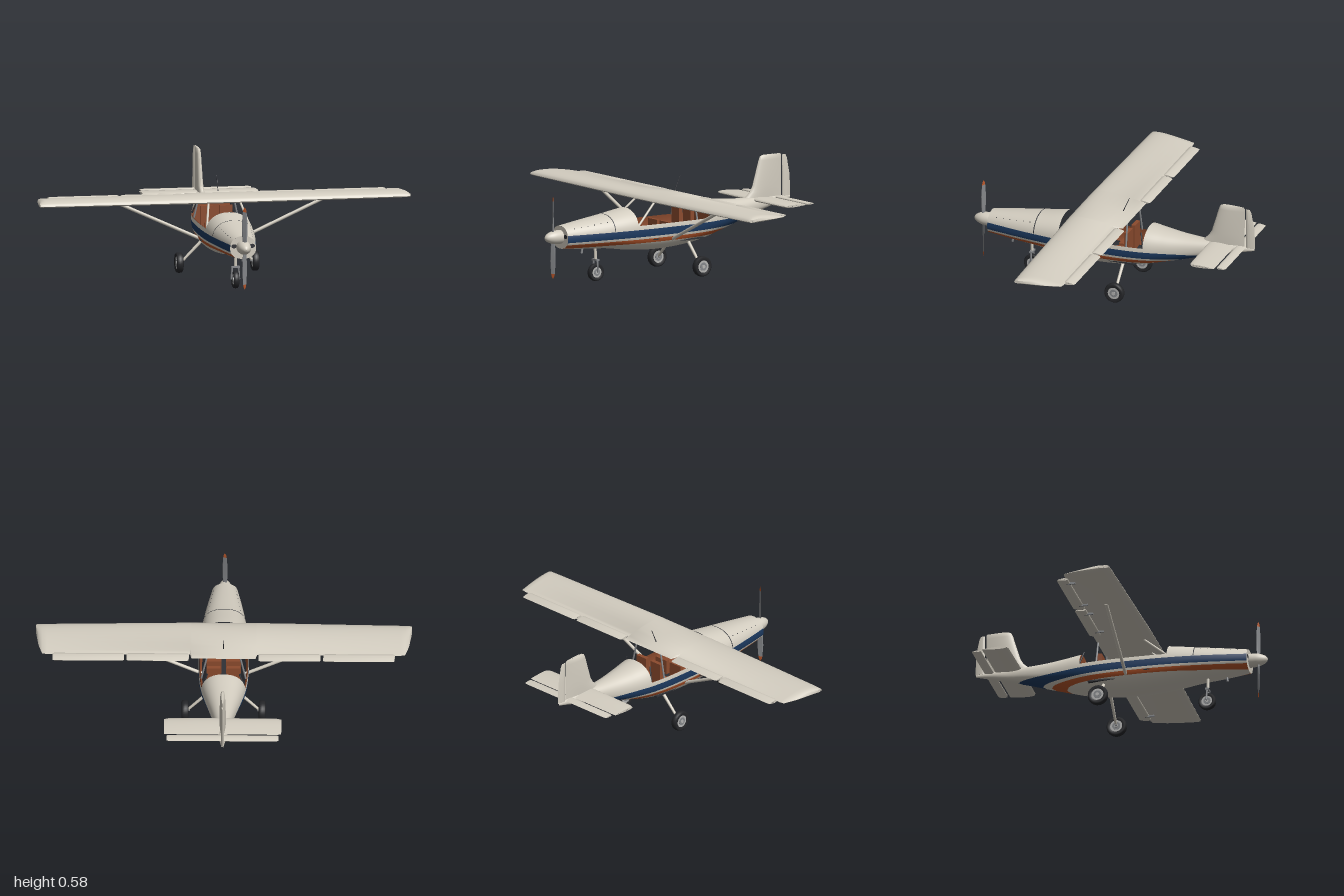
import * as THREE from 'three';
import { toCreasedNormals, mergeGeometries } from 'three/addons/utils/BufferGeometryUtils.js';

const paint = (name, color, side = THREE.FrontSide) => {
  const m = new THREE.MeshStandardMaterial({ color, side });
  m.name = name;
  return m;
};

// Fuselage stations: z, bottom, top, half width
const stations = [
  [-0.8, 0.333, 0.345, 0.004], [-0.7, 0.308, 0.352, 0.02], [-0.6, 0.282, 0.355, 0.032],
  [-0.5, 0.255, 0.357, 0.052], [-0.4, 0.225, 0.362, 0.073], [-0.3, 0.198, 0.372, 0.097],
  [-0.2, 0.172, 0.385, 0.119], [-0.08, 0.152, 0.392, 0.131], [0.1, 0.142, 0.392, 0.134],
  [0.275, 0.153, 0.378, 0.128], [0.42, 0.174, 0.356, 0.114], [0.56, 0.184, 0.338, 0.094], [0.7, 0.196, 0.319, 0.07],
];

// Smooth interpolation of the station table
function station(z) {
  const S = stations, last = S.length - 1;
  let i = 0;
  while (i < last - 1 && z > S[i + 1][0]) i++;
  const h = S[i + 1][0] - S[i][0], t = (z - S[i][0]) / h;
  const slope = (k, c) => {
    const a = S[Math.max(k - 1, 0)], b = S[Math.min(k + 1, last)];
    return (b[c] - a[c]) / (b[0] - a[0]);
  };
  const [bottom, top, half] = [1, 2, 3].map((c) =>
    S[i][c] * (1 + 2 * t) * (1 - t) ** 2 + slope(i, c) * h * t * (1 - t) ** 2 +
    S[i + 1][c] * t * t * (3 - 2 * t) + slope(i + 1, c) * h * t * t * (t - 1));
  return { bottom, top, half, mid: bottom + 0.46 * (top - bottom) };
}

const N = 2.25; // roundness of the cross-section
const power = (v, e) => Math.sign(v) * Math.abs(v) ** e;
function hullPoint(z, a) {
  const s = station(z), sin = Math.sin(a);
  return new THREE.Vector3(s.half * power(Math.cos(a), 2 / N),
    s.mid + (sin > 0 ? s.top - s.mid : s.mid - s.bottom) * power(sin, 2 / N), z);
}
function hullAngle(z, y) {
  const s = station(z);
  const v = THREE.MathUtils.clamp((y - s.mid) / (y > s.mid ? s.top - s.mid : s.mid - s.bottom), -1, 1);
  return Math.asin(power(v, N / 2));
}

// Strip of hull skin between two heights, on both sides; inner turns it to face the cabin
function hullBand(y0, y1, z0, z1, offset = 0, inner = false) {
  const rows = Math.max(2, Math.ceil((z1 - z0) * 60)), cols = 10, pos = [], nor = [], idx = [];
  for (const side of [1, -1]) {
    const base = pos.length / 3;
    for (let i = 0; i <= rows; i++) for (let j = 0; j <= cols; j++) {
      const z = z0 + (z1 - z0) * i / rows;
      const a = THREE.MathUtils.lerp(hullAngle(z, y0), hullAngle(z, y1), j / cols);
      const n = hullPoint(z, a + 0.02).sub(hullPoint(z, a - 0.02))
        .cross(hullPoint(z + 0.003, a).sub(hullPoint(z - 0.003, a))).normalize();
      const p = hullPoint(z, a).addScaledVector(n, offset), f = inner ? -1 : 1;
      pos.push(side * p.x, p.y, p.z);
      nor.push(f * side * n.x, f * n.y, f * n.z);
      if (i < rows && j < cols) {
        const k = base + i * (cols + 1) + j, b = k + 1, c = k + cols + 1, d = c + 1;
        if ((side > 0) !== inner) idx.push(k, b, c, b, d, c);
        else idx.push(k, c, b, b, c, d);
      }
    }
  }
  const g = new THREE.BufferGeometry();
  g.setAttribute('position', new THREE.Float32BufferAttribute(pos, 3));
  g.setAttribute('normal', new THREE.Float32BufferAttribute(nor, 3));
  g.setIndex(idx);
  return g;
}

// Flat bulkhead filling the hull section at z
function bulkhead(z, scale = 1) {
  const pts = [];
  for (let k = 0; k < 48; k++) {
    const p = hullPoint(z, k / 48 * Math.PI * 2);
    pts.push(new THREE.Vector2(p.x * scale, p.y));
  }
  return new THREE.ShapeGeometry(new THREE.Shape(pts)).translate(0, 0, z);
}

// Aerofoil loft; sections are [span, leading z, trailing z, thickness]
function foil(sections, { upright = false, y = 0, lower = 1 } = {}) {
  const K = 28, pos = [], idx = [];
  const ends = [sections[0], sections[sections.length - 1]].map((s) => [s[0], s[1], s[2], 0.0004]);
  const all = [ends[0], ...sections, ends[1]];
  all.forEach(([s, lead, trail, th], i) => {
    for (let k = 0; k < K; k++) {
      const a = k / K * Math.PI * 2, c = (1 - Math.cos(a)) / 2;
      const half = 5 * th * (0.2969 * Math.sqrt(c) - 0.126 * c - 0.3516 * c ** 2 + 0.2843 * c ** 3 - 0.1 * c ** 4);
      const t = Math.sin(a) >= 0 ? half : -half * lower, z = lead + (trail - lead) * c;
      if (upright) pos.push(t, s, z); else pos.push(s, y + t, z);
      if (i < all.length - 1) {
        const p = i * K + k, q = i * K + (k + 1) % K, r = p + K, u = q + K;
        if (upright) idx.push(p, q, r, q, u, r); else idx.push(p, r, q, q, r, u);
      }
    }
  });
  const g = new THREE.BufferGeometry();
  g.setAttribute('position', new THREE.Float32BufferAttribute(pos, 3));
  g.setIndex(idx);
  return toCreasedNormals(g, 0.7);
}

// Round bar between two points
function bar(a, b, r, r2 = r) {
  const A = new THREE.Vector3(...a), B = new THREE.Vector3(...b), d = B.clone().sub(A);
  const g = new THREE.CylinderGeometry(r2, r, d.length(), 12);
  g.applyQuaternion(new THREE.Quaternion().setFromUnitVectors(new THREE.Vector3(0, 1, 0), d.normalize()));
  return g.translate(...A.add(B).multiplyScalar(0.5).toArray());
}
const box = (w, h, d, x, y, z) => new THREE.BoxGeometry(w, h, d).translate(x, y, z);

export function createModel() {
  const model = new THREE.Group();
  const cream = paint('cream', 0xd3cdc0), blue = paint('navy', 0x1d3a60), orange = paint('orange', 0xb8562a);
  const brown = paint('leather', 0x8c4b2e, THREE.DoubleSide), dark = paint('charcoal', 0x2f3136, THREE.DoubleSide);
  const rubber = paint('rubber', 0x252629), metal = paint('metal', 0x85878a), rim = paint('rim', 0xb4b4b2);
  const add = (name, geo, mat, parent = model) => {
    const m = new THREE.Mesh(geo, mat);
    m.name = name;
    parent.add(m);
    return m;
  };

  // Hull skin in horizontal colour bands
  add('belly', hullBand(0, 0.198, -0.8, 0.7), cream);
  add('orangeStripe', hullBand(0.198, 0.22, -0.8, 0.7), orange);
  add('stripeGap', hullBand(0.22, 0.233, -0.8, 0.7), cream);
  add('blueStripe', hullBand(0.233, 0.272, -0.8, 0.7), blue);
  add('sill', hullBand(0.272, 0.294, -0.8, 0.7), cream);
  add('noseTop', hullBand(0.294, 0.6, 0.275, 0.7), cream);
  add('tailTop', hullBand(0.294, 0.6, -0.8, -0.205), cream);
  add('cowlSeam', hullBand(0.275, 0.6, 0.416, 0.421, 0.0008), dark);
  add('cowlFace', bulkhead(0.7), cream);
  for (const s of [1, -1]) {
    add('airIntake', new THREE.CircleGeometry(0.015, 24).scale(1, 0.75, 1).translate(s * 0.049, 0.265, 0.702), dark);
    add('doorHandle', box(0.004, 0.005, 0.035, s * 0.131, 0.213, 0.165), dark);
    for (let i = 0; i < 6; i++) { // cowl fasteners
      const p = hullPoint(0.45 + i * 0.04, 0.75);
      add('fastener', new THREE.SphereGeometry(0.0025, 8, 6).translate(s * p.x, p.y, p.z), dark);
    }
  }
  add('exhaust', bar([0.02, 0.19, 0.57], [0.02, 0.162, 0.575], 0.006), metal);

  // Cabin interior
  add('lining', hullBand(0.2, 0.293, -0.2, 0.272, -0.005, true), brown);
  add('floor', box(0.18, 0.006, 0.45, 0, 0.2, 0.035), dark);
  add('dashboard', bulkhead(0.274, 0.99), dark);
  add('rearBulkhead', bulkhead(-0.207, 0.99), brown);
  for (const s of [1, -1]) {
    add('frontSeat', mergeGeometries([box(0.08, 0.03, 0.08, s * 0.052, 0.225, 0.1),
      box(0.08, 0.08, 0.02, s * 0.052, 0.25, 0.05)]), brown);
    add('rearSeat', mergeGeometries([box(0.08, 0.03, 0.08, s * 0.052, 0.225, -0.06),
      box(0.07, 0.14, 0.022, s * 0.052, 0.285, -0.1)]), brown);
    add('windscreenPillar', bar([s * 0.118, 0.292, 0.273], [s * 0.085, 0.412, 0.14], 0.006), cream);
    add('rearPillar', bar([s * 0.118, 0.29, -0.112], [s * 0.09, 0.418, -0.108], 0.005), metal);
    add('rearFrame', bar([s * 0.112, 0.3, -0.204], [s * 0.085, 0.372, -0.186], 0.004), dark);
  }

  // High wing with separate flaps and ailerons
  const half = [[0, 0.2, -0.115, 0.06], [0.17, 0.2, -0.115, 0.06], [0.178, 0.199, -0.08, 0.06],
    [0.94, 0.184, -0.08, 0.05], [0.965, 0.183, -0.075, 0.048], [0.985, 0.182, 0, 0.04], [1, 0.18, 0.12, 0.022]];
  const mirrored = (list) => [...list.slice(1).reverse().map(([s, ...r]) => [-s, ...r]), ...list];
  add('wing', foil(mirrored(half), { y: 0.42, lower: 0.45 }), cream);
  for (const s of [1, -1]) {
    for (const [name, a, b] of [['flap', 0.185, 0.515], ['aileron', 0.53, 0.91]]) {
      const span = [[a, -0.07, -0.126, 0.015], [a + 0.01, -0.068, -0.131, 0.02],
        [b - 0.01, -0.068, -0.131, 0.02], [b, -0.07, -0.126, 0.015]];
      add(name, foil(s > 0 ? span : span.map(([x, ...r]) => [-x, ...r]).reverse(), { y: 0.417 }), cream);
      for (const x of [a + 0.05, b - 0.05]) add('hinge', box(0.008, 0.012, 0.05, s * x, 0.413, -0.065), metal);
    }
    add('wingStrut', bar([s * 0.115, 0.203, 0.05], [s * 0.57, 0.412, 0.057], 0.009), cream);
  }
  add('aerial', bar([0, 0.44, -0.05], [0, 0.52, -0.085], 0.0025, 0.0015), dark);

  // Tail surfaces
  add('stabilizer', foil(mirrored([[0, -0.545, -0.69, 0.024], [0.29, -0.548, -0.69, 0.02],
    [0.312, -0.555, -0.688, 0.014]]), { y: 0.344 }), cream);
  add('elevator', foil(mirrored([[0, -0.698, -0.75, 0.014], [0.285, -0.698, -0.75, 0.014],
    [0.298, -0.702, -0.745, 0.009]]), { y: 0.344 }), cream);
  add('fin', foil([[0.345, -0.5, -0.744, 0.036], [0.362, -0.515, -0.744, 0.036], [0.385, -0.54, -0.744, 0.036],
    [0.415, -0.557, -0.744, 0.035], [0.55, -0.597, -0.744, 0.027], [0.57, -0.606, -0.744, 0.022],
    [0.577, -0.62, -0.738, 0.012]], { upright: true }), cream);
  add('rudder', foil([[0.345, -0.75, -0.803, 0.016], [0.456, -0.75, -0.8, 0.015], [0.55, -0.75, -0.782, 0.012],
    [0.568, -0.75, -0.773, 0.008]], { upright: true }), cream);

  // Propeller and spinner
  const profile = [[0.037, 0], [0.037, 0.02], [0.034, 0.05], [0.026, 0.075], [0.014, 0.093], [0, 0.1]];
  const curve = new THREE.SplineCurve(profile.map((p) => new THREE.Vector2(...p))).getPoints(24);
  add('spinner', new THREE.LatheGeometry(curve, 32).rotateX(Math.PI / 2).translate(0, 0.26, 0.7), cream);
  for (const turn of [0, Math.PI]) {
    const place = (g) => g.rotateY(1.05).rotateZ(turn).translate(0, 0.26, 0.748);
    add('propellerBlade', place(foil([[0.015, 0.009, -0.009, 0.012], [0.06, 0.014, -0.014, 0.009],
      [0.13, 0.016, -0.016, 0.006], [0.195, 0.011, -0.011, 0.004]], { upright: true })), metal);
    add('bladeTip', place(foil([[0.195, 0.011, -0.011, 0.004], [0.212, 0.007, -0.007, 0.003],
      [0.22, 0.002, -0.002, 0.002]], { upright: true })), orange);
  }

  // Landing gear
  const wheel = (x, z, r, w) => {
    const g = new THREE.Group();
    g.name = 'wheel';
    const tyre = [[0.6, -0.38], [0.85, -0.5], [0.96, -0.36], [1, 0], [0.96, 0.36], [0.85, 0.5], [0.6, 0.38]]
      .map(([a, b]) => new THREE.Vector2(a * r, b * w));
    add('tyre', new THREE.LatheGeometry(tyre, 32).rotateZ(Math.PI / 2), rubber, g);
    add('rim', new THREE.CylinderGeometry(r * 0.61, r * 0.61, w * 0.72, 28).rotateZ(Math.PI / 2), rim, g);
    add('brakeDisc', new THREE.CylinderGeometry(r * 0.4, r * 0.4, w * 0.8, 24).rotateZ(Math.PI / 2), metal, g);
    add('hub', new THREE.CylinderGeometry(r * 0.18, r * 0.18, w * 0.95, 16).rotateZ(Math.PI / 2), rim, g);
    g.position.set(x, r, z);
    model.add(g);
  };
  for (const s of [1, -1]) {
    wheel(s * 0.205, -0.08, 0.055, 0.036);
    add('mainLeg', bar([s * 0.075, 0.178, -0.08], [s * 0.19, 0.06, -0.08], 0.009, 0.007), cream);
    add('axle', bar([s * 0.18, 0.056, -0.08], [s * 0.21, 0.055, -0.08], 0.006), metal);
    add('legFairing', box(0.02, 0.008, 0.15, s * 0.1, 0.19, -0.085), dark);
    add('noseFork', bar([s * 0.022, 0.048, 0.468], [s * 0.017, 0.115, 0.47], 0.005), metal);
  }
  wheel(0, 0.468, 0.048, 0.03);
  add('forkCrown', box(0.046, 0.01, 0.018, 0, 0.115, 0.47), metal);
  add('noseLeg', bar([0, 0.112, 0.47], [0, 0.19, 0.472], 0.008), cream);
  return model;
}
